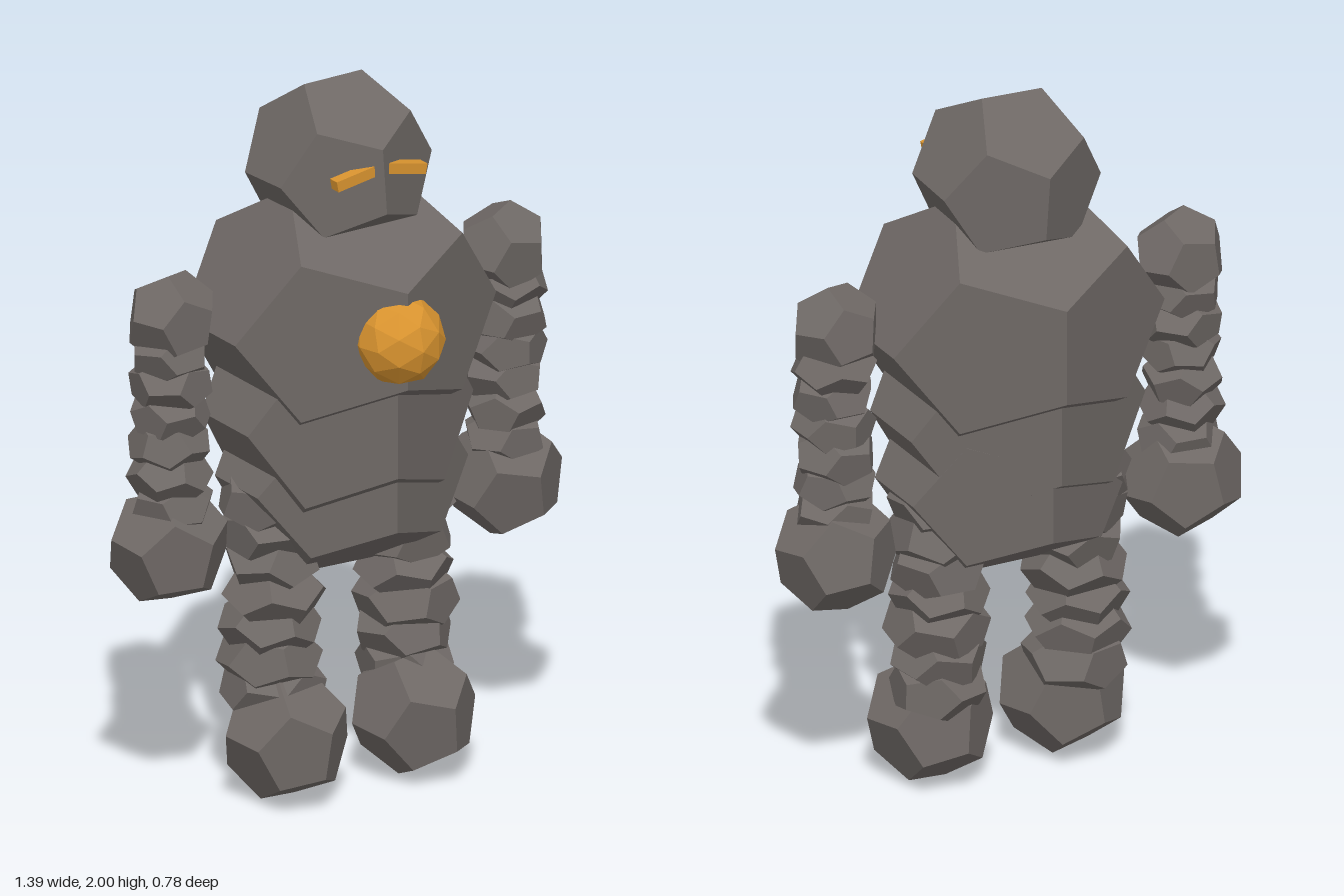
import * as THREE from 'three';

const stone = new THREE.MeshStandardMaterial({ color: 0x6e6865 });
stone.name = 'grey stone';
const glow = new THREE.MeshStandardMaterial({ color: 0xd8932f });
glow.name = 'amber';

// Small seeded generator for the tumbled stones
function seeded(seed) {
  let s = seed;
  return () => {
    s = (s * 16807) % 2147483647;
    return s / 2147483647;
  };
}

function add(parent, name, geometry, material, x, y, z) {
  const mesh = new THREE.Mesh(geometry, material);
  mesh.name = name;
  mesh.position.set(x, y, z);
  parent.add(mesh);
  return mesh;
}

// Twelve-sided boulder, turned first and then stretched
function boulder(rx, ry, rz, turn = [0, 0, 0]) {
  const geometry = new THREE.DodecahedronGeometry(1, 0);
  geometry.applyMatrix4(new THREE.Matrix4().makeRotationFromEuler(new THREE.Euler(...turn)));
  geometry.scale(rx, ry, rz);
  geometry.computeVertexNormals();
  return geometry;
}

// Column of flattened stones with slightly varied turns and offsets
function limb(parent, name, { x, z, top, step, count, radius, squash, seed }) {
  const group = new THREE.Group();
  group.name = name;
  const random = seeded(seed);
  for (let i = 0; i < 5; i++) random();
  for (let i = 0; i < count; i++) {
    const turn = [random() * 6, random() * 6, random() * 6];
    const r = radius * (0.97 + random() * 0.08);
    add(group, name + 'Stone', boulder(r, r * squash, r, turn), stone,
      x + (random() - 0.5) * 0.015, top - i * step, z + (random() - 0.5) * 0.015);
  }
  parent.add(group);
  return group;
}

export function createModel() {
  const model = new THREE.Group();
  model.name = 'stoneGolem';

  // Torso and head
  add(model, 'chest', boulder(0.44, 0.385, 0.375), stone, 0, 1.35, -0.04);
  add(model, 'belly', boulder(0.38, 0.36, 0.33), stone, -0.01, 1.08, -0.033);
  add(model, 'pelvis', boulder(0.355, 0.3, 0.305), stone, 0.01, 0.89, -0.045);
  add(model, 'head', boulder(0.255, 0.255, 0.255, [-0.05, 0, 0.04]), stone, 0, 1.757, -0.045);

  // Faceted core in the chest
  const core = new THREE.IcosahedronGeometry(0.125, 1);
  core.computeVertexNormals();
  add(model, 'core', core, glow, 0, 1.345, 0.265);

  for (const side of [-1, 1]) {
    const word = side > 0 ? 'left' : 'right';

    // Eye bars slope up towards the middle
    const eye = add(model, word + 'Eye', new THREE.BoxGeometry(0.12, 0.03, 0.035), glow,
      side * 0.081, 1.788, 0.161);
    eye.rotation.z = -side * 0.19;

    // Arm with shoulder stone and fist
    add(model, word + 'Shoulder', boulder(0.132, 0.132, 0.125, [0.1, 0.5, side * 0.15]), stone,
      side * 0.522, 1.41, -0.052);
    limb(model, word + 'Arm', {
      x: side * 0.524, z: -0.053, top: 1.31, step: 0.086, count: 6,
      radius: 0.116, squash: 0.72, seed: 311 + side * 57,
    });
    add(model, word + 'Fist', boulder(0.172, 0.172, 0.165, [0.15, 0.2, side * 0.2]), stone,
      side * 0.526, 0.762, -0.058);

    // Leg and foot
    limb(model, word + 'Leg', {
      x: side * 0.207, z: -0.052, top: 0.84, step: 0.09, count: 7,
      radius: 0.143, squash: 0.7, seed: 907 + side * 83,
    });
    add(model, word + 'Foot', boulder(0.178, 0.183, 0.18, [0.1, 0.2, side * 0.12]), stone,
      side * 0.2, 0.177, 0.015);
  }
  return model;
}
